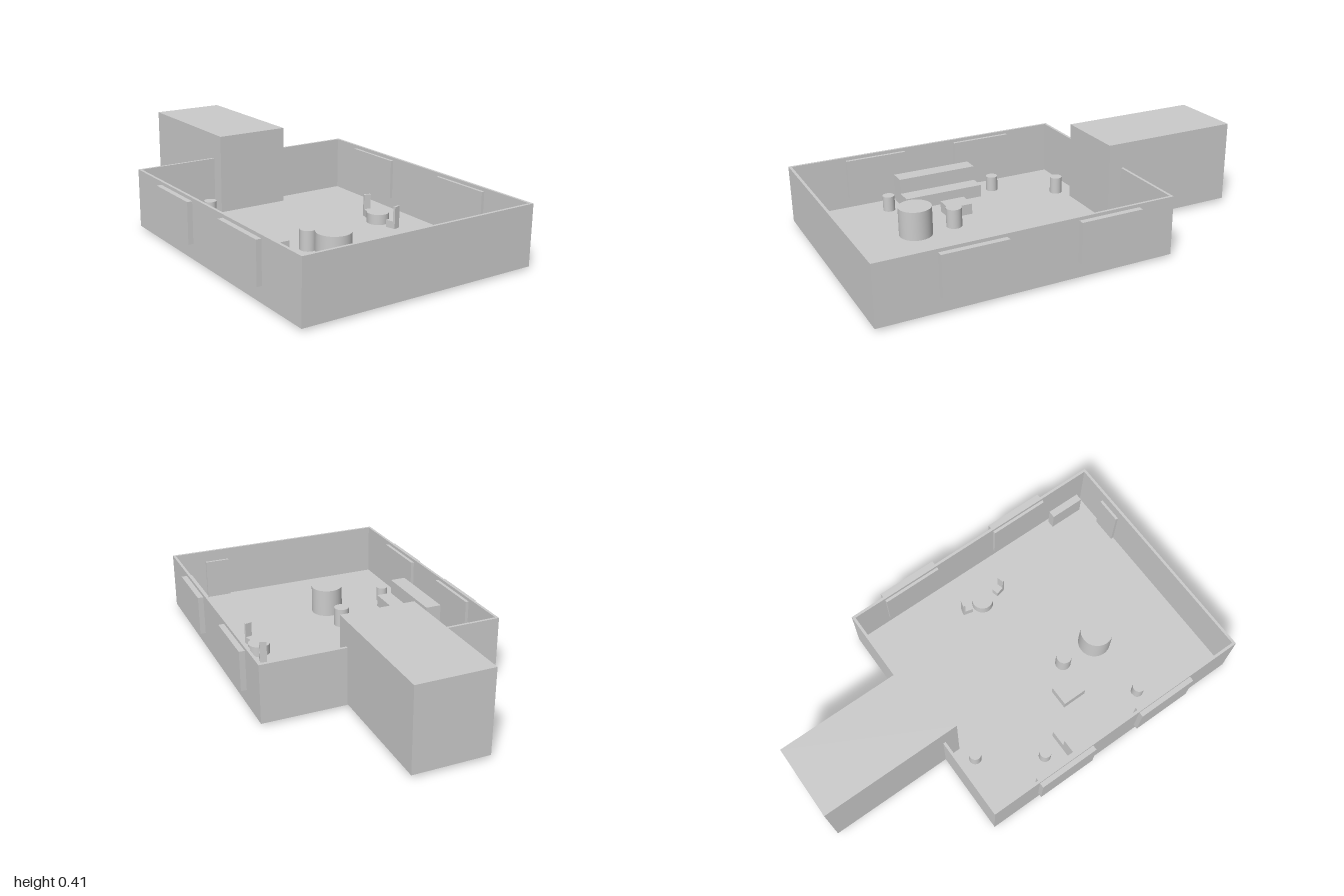
import * as THREE from 'three';

const material = new THREE.MeshStandardMaterial({ color: 0xcccccc });

// Box given by its extents along each axis
function box(name, [x0, x1], [y0, y1], [z0, z1]) {
  const mesh = new THREE.Mesh(new THREE.BoxGeometry(x1 - x0, y1 - y0, z1 - z0), material);
  mesh.position.set((x0 + x1) / 2, (y0 + y1) / 2, (z0 + z1) / 2);
  mesh.name = name;
  return mesh;
}

// Upright cylinder from y0 to y1
function drum(name, x, z, radius, y0, y1) {
  const mesh = new THREE.Mesh(new THREE.CylinderGeometry(radius, radius, y1 - y0, 32), material);
  mesh.position.set(x, (y0 + y1) / 2, z);
  mesh.name = name;
  return mesh;
}

// Chair with its backrest on the local -z side
function chair(name, x, z, angle) {
  const group = new THREE.Group();
  group.name = name;
  group.add(
    box('chairSeat', [-0.017, 0.017], [0.03, 0.065], [-0.025, 0.025]),
    box('chairBack', [-0.017, 0.017], [0.065, 0.137], [-0.025, -0.014]),
  );
  group.position.set(x, 0, z);
  group.rotation.y = angle;
  return group;
}

export function createModel() {
  const model = new THREE.Group();
  model.name = 'roomWithAnnex';

  const L = -0.583, R = 0.577, B = -0.39, F = 1.0, T = 0.013;
  const floorTop = 0.03, wallHeight = [0.01, 0.29];

  // Room shell, open at the top
  model.add(
    box('floor', [L, R], [0.01, floorTop], [B, F]),
    box('leftWall', [R - T, R], wallHeight, [B, F]),
    box('rightWall', [L, L + T], wallHeight, [B, F]),
    box('frontWall', [L + T, R - T], wallHeight, [F - T, F]),
    box('backWall', [L + T, R - T], wallHeight, [B, B + T]),
  );

  // Tall annex passing through the back wall
  model.add(box('annex', [-0.184, 0.176], [0.015, 0.412], [-1.0, -0.31]));

  // Window panels set through the side walls
  for (const z of [-0.21, 0.425]) {
    model.add(box('leftWindow', [0.55, 0.604], [0.083, 0.275], [z, z + 0.3]));
  }
  for (const z of [-0.142, 0.425]) {
    model.add(box('rightWindow', [-0.607, -0.554], [0.083, 0.275], [z, z + 0.3]));
  }

  // Door on the inside of the front wall
  model.add(box('door', [0.28, 0.405], [floorTop, 0.232], [0.974, 0.988]));

  // Sofa
  model.add(
    box('sofaBack', [-0.55, -0.47], [floorTop, 0.166], [0.09, 0.49]),
    box('sofaSeat', [-0.47, -0.39], [floorTop, 0.092], [0.09, 0.49]),
  );

  // Coffee table and wall cabinet
  model.add(
    box('coffeeTable', [-0.31, -0.21], [floorTop, 0.083], [0.222, 0.345]),
    box('cabinet', [0.513, 0.55], [floorTop, 0.132], [0.77, 0.945]),
  );

  // Round furniture
  model.add(
    drum('largeDrum', -0.122, 0.55, 0.079, 0.009, 0.17),
    drum('smallDrum', -0.122, 0.356, 0.038, floorTop, 0.125),
    drum('sideTable', -0.45, 0, 0.029, floorTop, 0.105),
    drum('sideTable', -0.45, 0.56, 0.029, floorTop, 0.105),
    drum('stool', -0.266, -0.275, 0.03, floorTop, 0.113),
    drum('roundTable', 0.372, 0.222, 0.053, 0, 0.08),
  );

  // Two chairs facing the round table
  model.add(
    chair('backChair', 0.383, 0.134, -0.25),
    chair('frontChair', 0.38, 0.325, Math.PI + 0.25),
  );

  return model;
}
